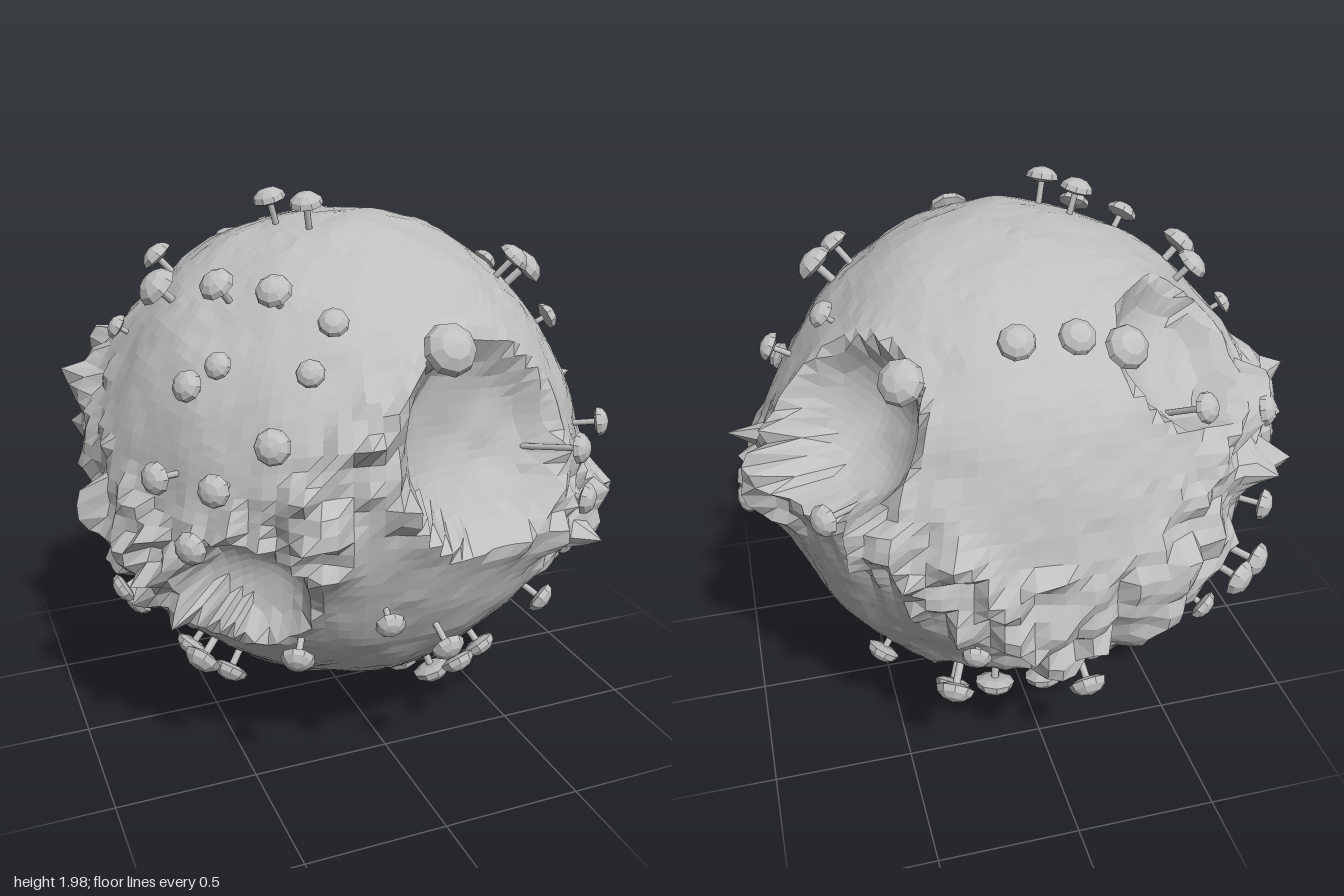
import * as THREE from 'three';

const CENTRE_Y = 1.03;

// seeded lattice noise, 0..1
function hash(x, y, z) {
  const s = Math.sin(x * 127.1 + y * 311.7 + z * 74.7) * 43758.5453;
  return s - Math.floor(s);
}
function noise(p, f) {
  const x = p.x * f + 50, y = p.y * f + 50, z = p.z * f + 50;
  const i = Math.floor(x), j = Math.floor(y), k = Math.floor(z);
  const s = t => t * t * (3 - 2 * t);
  const u = s(x - i), v = s(y - j), w = s(z - k);
  let sum = 0;
  for (let a = 0; a < 2; a++) for (let b = 0; b < 2; b++) for (let c = 0; c < 2; c++)
    sum += hash(i + a, j + b, k + c) * (a ? u : 1 - u) * (b ? v : 1 - v) * (c ? w : 1 - w);
  return sum;
}

// craters: direction, angular radius, depth
const craters = [
  [[0.24, 0.22, 0.82], 0.41, 0.2],
  [[-0.58, -0.26, 0.66], 0.25, 0.14],
  [[0.68, 0.4, -0.46], 0.33, 0.2],
  [[-0.45, 0.54, -0.5], 0.3, 0.14],
  [[0.09, -0.61, -0.5], 0.34, 0.15],
].map(([d, r, depth]) => ({ dir: new THREE.Vector3(...d).normalize(), r, depth }));

// distance of the surface from the centre along a unit direction
function surfaceRadius(n) {
  // wavy, spiky ridge running round the equator
  const angle = Math.atan2(n.x, n.z);
  const d = n.y - 0.27 * Math.cos(3 * angle) * Math.sqrt(Math.max(0, 1 - n.y * n.y));
  const ridge = Math.exp(-Math.pow(d / 0.34, 2));
  const spiky = Math.exp(-Math.pow(d / 0.26, 4));
  let r = 0.86 + 0.06 * ridge + 0.03 * (noise(n, 4) - 0.5) + 0.012 * (noise(n, 13) - 0.5);
  r += spiky * (0.16 * Math.pow(noise(n, 13), 2) - 0.02);
  for (const c of craters) {
    const a = n.angleTo(c.dir) / c.r;
    if (a < 1) {
      const bowl = 0.855 - c.depth * Math.pow(1 - a * a, 0.6) + 0.025 * (noise(n, 7) - 0.5);
      r = THREE.MathUtils.lerp(r, bowl, Math.min(1, (1 - a) / 0.12));
    } else if (a < 1.25) {
      r += 0.012 * (1 - (a - 1) / 0.25);
    }
  }
  return r;
}

// rock: a cube grid pushed out to the cratered surface
function makeRock(material) {
  const box = new THREE.BoxGeometry(2, 2, 2, 30, 30, 30);
  const pos = box.attributes.position;
  const n = new THREE.Vector3();
  const spread = t => Math.tan(t * Math.PI / 4);
  for (let i = 0; i < pos.count; i++) {
    n.fromBufferAttribute(pos, i);
    n.set(spread(n.x), spread(n.y), spread(n.z)).normalize();
    n.multiplyScalar(surfaceRadius(n));
    pos.setXYZ(i, n.x, n.y, n.z);
  }
  const geo = box.toNonIndexed();
  geo.computeVertexNormals();
  const mesh = new THREE.Mesh(geo, material);
  mesh.name = 'crateredRock';
  return mesh;
}

// rings of mushrooms: latitude, distance from the centre, cap radius, longitudes from the front
const rings = [
  [74, 0.95, 0.058, [-43, -80]],
  [48, 0.94, 0.06, [-108, -58, -39, 62, 168, -175]],
  [44, 0.94, 0.073, [-82, 69, -162]],
  [43, 0.9, 0.05, [-22, 98]],
  [38, 1, 0.075, [142]],
  [33, 1.05, 0.085, [1]],
  [32, 0.92, 0.046, [-96, -49, -27]],
  [27, 0.93, 0.053, [-55, 83, -145]],
  [18, 0.98, 0.058, [-33, -126]],
  [9, 0.97, 0.054, [-57, -44, 36, 54, 129]],
  [-3, 0.97, 0.057, [-49, 40, 96, -128]],
  [-10, 1.02, 0.065, [-144, -137]],
  [-20, 0.93, 0.05, [159, -10, 53, -176]],
  [-29, 0.95, 0.058, [-136, -89, -30, 5, 40]],
  [-37, 0.96, 0.068, [-58, -98, -173, 152]],
  [-48.5, 0.93, 0.064, [-59, -81, 117, 24, 38, 147]],
  [-66, 0.99, 0.075, [48]],
  [-74, 1.02, 0.078, [-162, 156, 85]],
];

export function createModel() {
  const model = new THREE.Group();
  model.name = 'mushroomAsteroid';
  const grey = new THREE.MeshStandardMaterial({ color: 0xbfbfbf });
  grey.name = 'stoneGrey';

  const body = new THREE.Group();
  body.name = 'asteroid';
  body.position.y = CENTRE_Y;
  model.add(body);
  body.add(makeRock(grey));

  // shared cap and stem shapes, at unit cap radius and unit stem length
  const profile = [[0, -0.32], [0.6, -0.27], [1, -0.1], [0.9, 0.22], [0.55, 0.5], [0, 0.62]];
  const cap = new THREE.LatheGeometry(profile.map(p => new THREE.Vector2(...p)), 9).toNonIndexed();
  cap.computeVertexNormals();
  const stem = new THREE.CylinderGeometry(1, 1, 1, 8);
  stem.translate(0, -0.5, 0);

  // mushrooms standing outward from the rock
  const up = new THREE.Vector3(0, 1, 0);
  const rad = THREE.MathUtils.degToRad;
  for (const [latitude, distance, size, longitudes] of rings) {
    for (const longitude of longitudes) {
      const dir = new THREE.Vector3().setFromSphericalCoords(1, rad(90 - latitude), rad(longitude));
      const mushroom = new THREE.Group();
      mushroom.name = 'mushroom';
      mushroom.position.copy(dir).multiplyScalar(distance);
      mushroom.quaternion.setFromUnitVectors(up, dir);
      const capMesh = new THREE.Mesh(cap, grey);
      capMesh.name = 'mushroomCap';
      capMesh.scale.setScalar(size);
      const stemMesh = new THREE.Mesh(stem, grey);
      stemMesh.name = 'mushroomStem';
      stemMesh.scale.set(size * 0.2, 0.22, size * 0.2);
      mushroom.add(capMesh, stemMesh);
      body.add(mushroom);
    }
  }
  return model;
}
